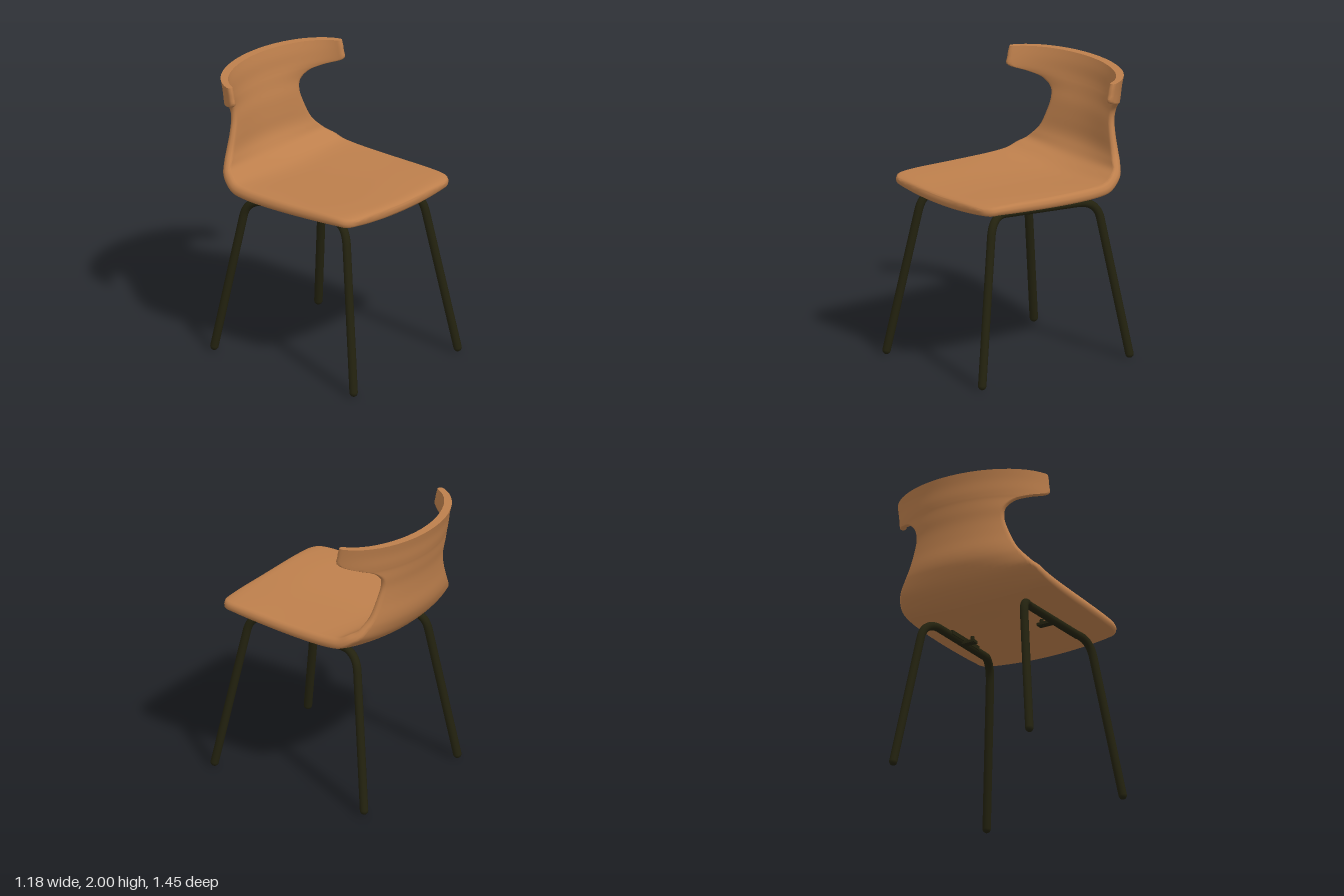
import * as THREE from 'three';
import { toCreasedNormals } from 'three/addons/utils/BufferGeometryUtils.js';

// Shell stations, front lip to top rail:
// [z, y, thickness, half width, facing angle (90 = up, 0 = forward), curl depth, curl tightness]
const STATIONS = [
  [0.675, 1.225, 0.025, 0.43, 90, 0.12, 0.6],
  [0.665, 1.2, 0.065, 0.48, 90, 0.12, 0.6],
  [0.63, 1.19, 0.085, 0.525, 90, 0.12, 0.6],
  [0.56, 1.187, 0.09, 0.545, 90, 0.13, 0.6],
  [0.4, 1.175, 0.1, 0.557, 90, 0.14, 0.6],
  [0.15, 1.16, 0.105, 0.567, 90, 0.15, 0.6],
  [-0.1, 1.145, 0.11, 0.572, 90, 0.16, 0.65],
  [-0.28, 1.14, 0.11, 0.572, 88, 0.17, 0.7],
  [-0.4, 1.155, 0.11, 0.565, 75, 0.18, 0.7],
  [-0.5, 1.2, 0.105, 0.545, 58, 0.2, 0.75],
  [-0.58, 1.265, 0.095, 0.505, 40, 0.22, 0.8],
  [-0.63, 1.35, 0.09, 0.455, 22, 0.28, 0.85],
  [-0.65, 1.43, 0.08, 0.41, 12, 0.3, 0.95],
  [-0.652, 1.54, 0.07, 0.365, 4, 0.32, 0.98],
  [-0.66, 1.65, 0.065, 0.332, 0, 0.36, 0.98],
  [-0.675, 1.73, 0.062, 0.345, 0, 0.38, 0.98],
  [-0.685, 1.79, 0.06, 0.41, 0, 0.4, 0.985],
  [-0.692, 1.82, 0.06, 0.49, 0, 0.4, 0.99],
  [-0.7, 1.86, 0.06, 0.58, 0, 0.4, 0.99],
  [-0.71, 1.93, 0.06, 0.588, 0, 0.4, 0.99],
  [-0.727, 2.0, 0.06, 0.588, 0, 0.4, 0.99],
];

// Smooth interpolation of all station values
function stationAt(i, f) {
  const at = (k) => STATIONS[Math.min(Math.max(k, 0), STATIONS.length - 1)];
  const [a, b, c, d] = [at(i - 1), at(i), at(i + 1), at(i + 2)];
  return b.map((p, k) => {
    const m0 = (c[k] - a[k]) / 2, m1 = (d[k] - p) / 2;
    const f2 = f * f, f3 = f2 * f;
    return (2 * f3 - 3 * f2 + 1) * p + (f3 - 2 * f2 + f) * m0
      + (3 * f2 - 2 * f3) * c[k] + (f3 - f2) * m1;
  });
}

// Closed cross-section: left edge, underside, right edge, upper side
function crossSection([z, y, t, w, deg, depth, k]) {
  const n = 24, R = 0.6, edge = 0.022;
  const ang = THREE.MathUtils.degToRad(deg);
  const place = (x, h) => {
    const bow = 0.045 * Math.max(0, z) * (x / R) ** 2;
    return [x, y + h * Math.sin(ang), z + h * Math.cos(ang) - bow];
  };
  const point = (u, side, out = 0) => {
    const x = w * u, root = Math.sqrt(1 - k * (x / R) ** 2);
    const slope = depth * k * x / (R * R) / root, len = Math.hypot(1, slope);
    const off = t * (1 - 0.3 * u ** 4) * side;
    return place(x + (out - slope * off) / len, depth * (1 - root) + (off + out * slope) / len);
  };
  const us = Array.from({ length: n + 1 }, (_, j) => Math.sin(Math.PI * (j / n - 0.5)));
  return [
    point(-1, 0.5, -edge), point(-1, 0.15, -edge * 0.7),
    ...us.map((u) => point(u, 0)),
    point(1, 0.15, edge * 0.7), point(1, 0.5, edge), point(1, 0.85, edge * 0.7),
    ...us.map((u) => point(-u, 1)),
    point(-1, 0.85, -edge * 0.7),
  ];
}

function shellGeometry() {
  const rings = [], sub = 4;
  for (let i = 0; i < STATIONS.length - 1; i++) {
    for (let s = 0; s < sub; s++) rings.push(crossSection(stationAt(i, s / sub)));
  }
  rings.push(crossSection(STATIONS[STATIONS.length - 1]));
  const N = rings[0].length, last = (rings.length - 1) * N, index = [];
  for (let i = 0; i < rings.length - 1; i++) {
    for (let j = 0; j < N; j++) {
      const a = i * N + j, b = i * N + (j + 1) % N;
      index.push(a, a + N, b, b, a + N, b + N);
    }
  }
  // End caps, joining underside to upper side
  for (let j = 0; j < N / 2; j++) {
    const a = j, b = j + 1, c = N - j - 1, d = (N - j) % N;
    if (b !== c) index.push(a, b, c, last + a, last + c, last + b);
    if (a !== d) index.push(a, c, d, last + a, last + d, last + c);
  }
  const geo = new THREE.BufferGeometry();
  geo.setAttribute('position', new THREE.Float32BufferAttribute(rings.flat(2), 3));
  geo.setIndex(index);
  return toCreasedNormals(geo, 0.9);
}

// One bent tube: front leg, rail under the seat, back leg
function legPath(side) {
  const v = (x, y, z) => new THREE.Vector3(side * x, y, z);
  const path = new THREE.CurvePath();
  const frontFoot = v(0.54, 0.03, 0.697), backFoot = v(0.54, 0.03, -0.572);
  const f1 = v(0.41, 1.03, 0.52), f2 = v(0.36, 1.16, 0.38);
  const b1 = v(0.41, 1.0, -0.42), b2 = v(0.36, 1.12, -0.28);
  path.add(new THREE.LineCurve3(frontFoot, f1));
  path.add(new THREE.QuadraticBezierCurve3(f1, v(0.393, 1.165, 0.495), f2));
  path.add(new THREE.LineCurve3(f2, b2));
  path.add(new THREE.QuadraticBezierCurve3(b2, v(0.395, 1.115, -0.4), b1));
  path.add(new THREE.LineCurve3(b1, backFoot));
  return { path, feet: [frontFoot, backFoot] };
}

export function createModel() {
  const wood = new THREE.MeshStandardMaterial({ name: 'warm wood', color: 0xbd7f4c });
  const metal = new THREE.MeshStandardMaterial({ name: 'dark metal', color: 0x23220f });
  const model = new THREE.Group();
  model.name = 'chair';
  const add = (parent, name, geo, mat, x = 0, y = 0, z = 0) => {
    const mesh = new THREE.Mesh(geo, mat);
    mesh.name = name;
    mesh.position.set(x, y, z);
    parent.add(mesh);
    return mesh;
  };

  add(model, 'seatShell', shellGeometry(), wood);

  for (const side of [1, -1]) {
    const frame = new THREE.Group();
    frame.name = side > 0 ? 'leftLegFrame' : 'rightLegFrame';
    model.add(frame);
    const { path, feet } = legPath(side);
    add(frame, 'legTube', new THREE.TubeGeometry(path, 120, 0.029, 14, false), metal);
    for (const p of feet) {
      add(frame, 'footCap', new THREE.SphereGeometry(0.029, 14, 8), metal, p.x, p.y, p.z);
    }
    // Mounting plate and tab under the seat
    add(frame, 'mountingPlate', new THREE.BoxGeometry(0.05, 0.03, 0.36), metal, side * 0.35, 1.148, 0.05)
      .rotation.x = -0.06;
    add(frame, 'mountingTab', new THREE.BoxGeometry(0.11, 0.02, 0.05), metal, side * 0.305, 1.122, 0.05);
    add(frame, 'mountingScrew', new THREE.CylinderGeometry(0.014, 0.014, 0.05, 10), metal, side * 0.275, 1.135, 0.05);
  }
  return model;
}
